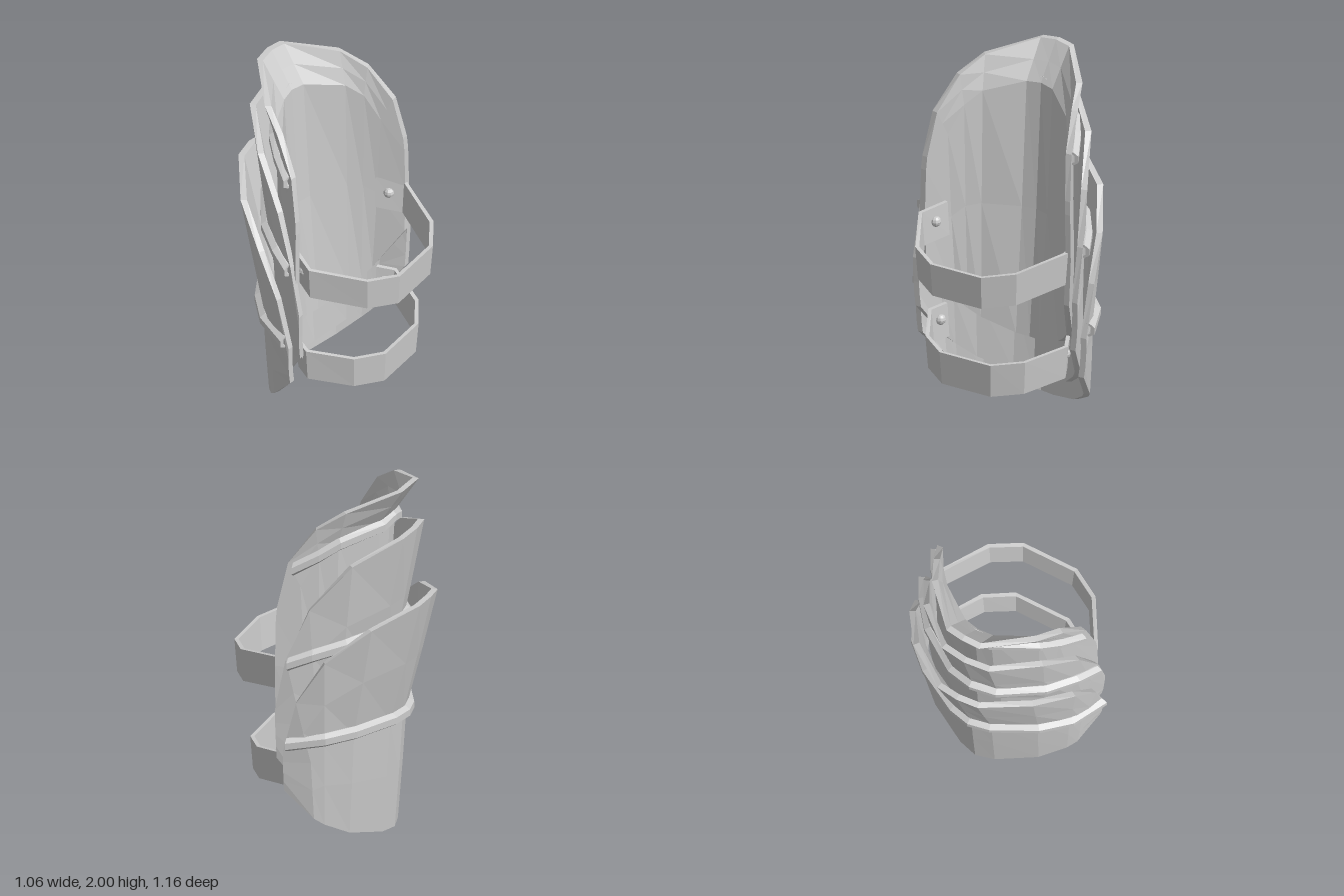
import * as THREE from 'three';

const material = new THREE.MeshStandardMaterial({ color: 0xcccccc, flatShading: true, side: THREE.DoubleSide });
const AXIS_X = 0.14; // vertical axis that every wall curves around
const { lerp } = THREE.MathUtils;
const mix = (p, q, t) => p.map((v, i) => lerp(v, q[i], t));

// Shift a point away from (or toward) the vertical axis
function radial([x, y, z], d) {
  const l = Math.hypot(x - AXIS_X, z) || 1;
  return [x + ((x - AXIS_X) / l) * d, y, z + (z / l) * d];
}

// Full rail from its half: centre point first, then outward along +z
const mirrorRail = (half) => [...half.slice(1).reverse().map(([x, y, z]) => [x, y, -z]), ...half];

// Closed wall of given thickness, lofted through rails ordered top to bottom
function wall(name, rails, thickness) {
  const R = rails.length, C = rails[0].length, n = 2 * R;
  const pos = [], idx = [];
  for (let c = 0; c < C; c++) {
    for (let r = 0; r < R; r++) pos.push(...rails[r][c]);
    for (let r = R - 1; r >= 0; r--) pos.push(...radial(rails[r][c], -thickness));
  }
  const quad = (a, b, c, d) => idx.push(a, b, c, a, c, d);
  for (let c = 0; c < C - 1; c++)
    for (let k = 0; k < n; k++) {
      const a = c * n, k2 = (k + 1) % n;
      quad(a + k, a + k2, a + n + k2, a + n + k);
    }
  const e = (C - 1) * n;
  for (let r = 0; r < R - 1; r++) {
    quad(r, n - 1 - r, n - 2 - r, r + 1);
    quad(e + r, e + r + 1, e + n - 2 - r, e + n - 1 - r);
  }
  const g = new THREE.BufferGeometry();
  g.setAttribute('position', new THREE.Float32BufferAttribute(pos, 3));
  g.setIndex(idx);
  const flat = g.toNonIndexed();
  flat.computeVertexNormals();
  const mesh = new THREE.Mesh(flat, material);
  mesh.name = name;
  return mesh;
}

// Plate with a rounded bottom edge from base [x, y] to side [x, y, z], bent outward above
// its knee [share of height, share of depth], with a bevelled rib running round it
function plate({ name, top, base, side, knee, turn, rib }) {
  const last = top.length - 1;
  const bottom = top.map((p, i) => {
    const sin = Math.min(1, p[2] / side[2] * 0.86);
    const c = i === last ? 1 : 1 - Math.sqrt(1 - sin * sin);
    const z = i === last ? side[2] : sin * side[2];
    return [lerp(base[0], side[0], c ** 0.7), lerp(base[1], side[1], c), z];
  });
  const surface = (u, s) => {
    const i = Math.min(Math.floor(u), last - 1);
    const a = mix(top[i], top[i + 1], u - i), b = mix(bottom[i], bottom[i + 1], u - i);
    const [ks, kf] = knee;
    const p = mix(a, b, s < ks ? (s / ks) * kf : lerp(kf, 1, (s - ks) / (1 - ks)));
    p[1] = lerp(a[1], b[1], s);
    return radial(p, 0.01 * Math.sin(Math.PI * s));
  };
  const atHeight = (u, y) => {
    const high = surface(u, 0)[1], low = surface(u, 1)[1];
    return surface(u, Math.max(0, (high - y) / (high - low)));
  };

  const group = new THREE.Group();
  group.name = name;
  group.rotation.y = turn;
  const rows = [0, knee[0] / 2, knee[0], (1 + knee[0]) / 2, 1];
  group.add(wall(name + 'Shell', rows.map((s) => mirrorRail(top.map((_, u) => surface(u, s)))), 0.034));

  const path = [0, 1, 2, 3, rib.end].map((u) => atHeight(u, lerp(rib.y0, rib.y1, (u / rib.end) ** 1.5)));
  const bevel = [[0.037, 0.008], [0.018, 0.038], [-0.018, 0.038], [-0.037, 0.008]];
  const ribRails = bevel.map(([h, d]) => mirrorRail(path.map((p) => {
    const [x, y, z] = radial(p, d);
    return [x, y + h, z];
  })));
  group.add(wall(name + 'Rib', ribRails, 0.025));
  return group;
}

// Sloping band round the open side, with a riveted tab at each end
function strap({ name, plan, from, to, rivetY }) {
  const group = new THREE.Group();
  group.name = name;
  const path = [...plan, ...plan.slice().reverse().map(([x, z]) => [x, -z])];
  const slope = (to[1] - from[1]) / (to[0] - from[0]);
  const rail = (h, lean) => path.map(([x, z]) => radial([x, from[1] + (x - from[0]) * slope + h, z], lean));
  group.add(wall(name + 'Band', [rail(0.093, 0), rail(-0.093, -0.015)], 0.022));
  const [x, z] = mix(plan[0], plan[1], 0.5);
  for (const s of [-1, 1]) {
    const dome = new THREE.Mesh(new THREE.SphereGeometry(0.03, 10, 6), material);
    dome.position.set(x, rivetY, s * (z - 0.025));
    dome.name = 'rivet';
    group.add(dome);
  }
  return group;
}

export function createModel() {
  const model = new THREE.Group();
  model.name = 'layeredArmorGuard';

  model.add(plate({
    name: 'innerPlate',
    top: [[-.43, 2, 0], [-.42, 1.99, .1], [-.2, 1.91, .325], [-.06, 1.82, .4], [.075, 1.63, .46], [.125, 1.38, .49]],
    base: [-.2, .36], side: [.135, .78, .49], knee: [.125, .58], turn: -.07,
    rib: { y0: 1.79, y1: 1.595, end: 3.95 },
  }));
  model.add(plate({
    name: 'middlePlate',
    top: [[-.45, 1.74, 0], [-.43, 1.73, .14], [-.23, 1.62, .36], [-.03, 1.38, .47], [.085, 1.1, .52], [.145, .8, .525]],
    base: [-.25, .11], side: [.14, .52, .51], knee: [.5, .8], turn: -.02,
    rib: { y0: 1.2, y1: 1.075, end: 3.95 },
  }));
  model.add(plate({
    name: 'outerPlate',
    top: [[-.53, 1.36, 0], [-.515, 1.35, .12], [-.34, 1.27, .36], [-.13, 1.1, .5], [.015, .87, .545], [.09, .58, .545]],
    base: [-.32, 0], side: [.09, .35, .53], knee: [.52, .83], turn: -.02,
    rib: { y0: .67, y1: .625, end: 4.75 },
  }));

  model.add(strap({
    name: 'upperStrap', plan: [[.02, .4], [.16, .475], [.43, .32], [.53, .16]],
    from: [.15, .995], to: [.53, .91], rivetY: 1.02,
  }));
  model.add(strap({
    name: 'lowerStrap', plan: [[.03, .395], [.12, .44], [.34, .315], [.44, .16]],
    from: [.09, .43], to: [.44, .365], rivetY: .45,
  }));
  return model;
}
